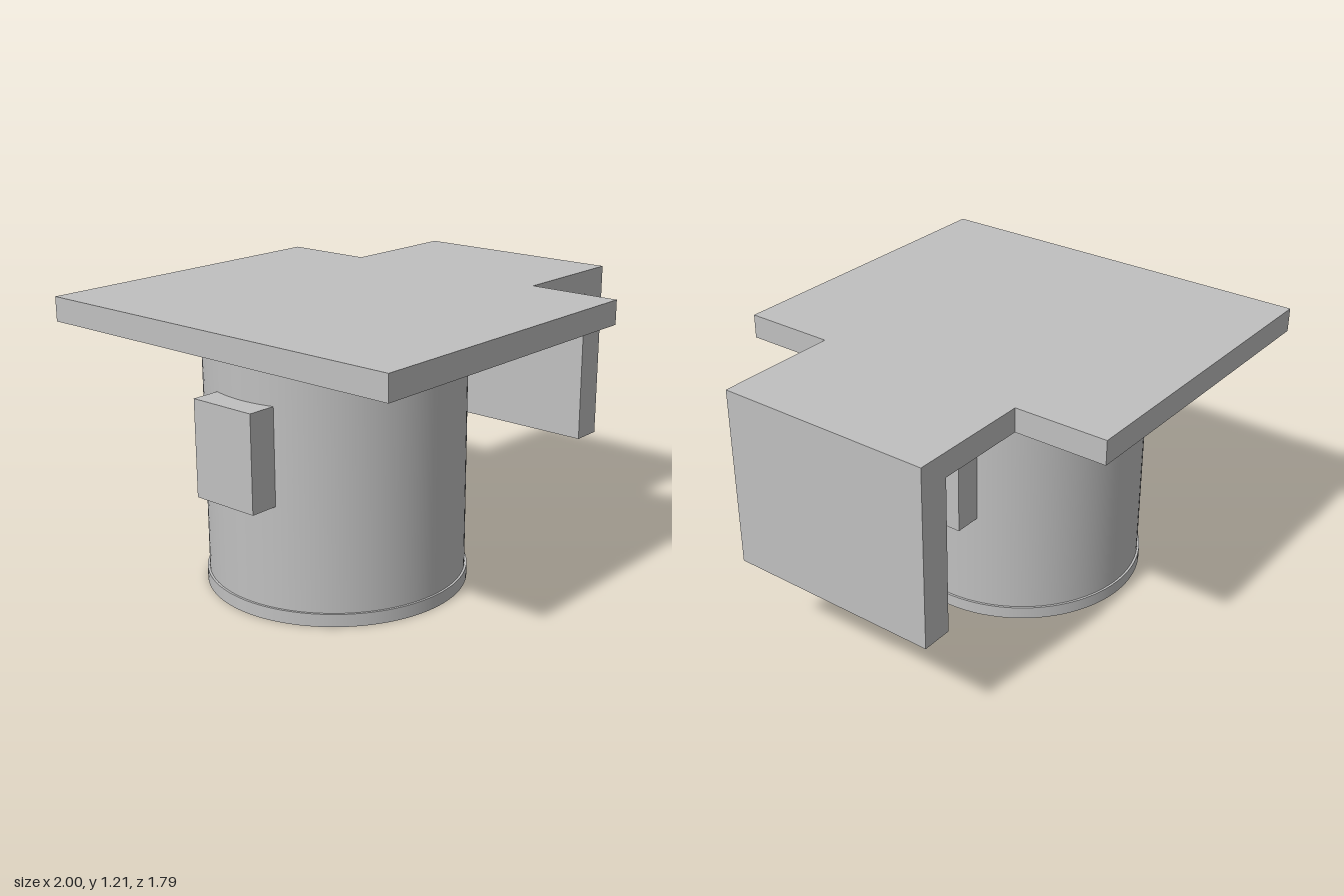
import * as THREE from 'three';

const TUBE_X = -0.275; // axis of the tube
const BORE = 0.4;

export function createModel() {
  const model = new THREE.Group();
  const grey = new THREE.MeshStandardMaterial({ color: 0xc0c0c0 });
  grey.name = 'light grey';

  const add = (name, geometry) => {
    const mesh = new THREE.Mesh(geometry, grey);
    mesh.name = name;
    model.add(mesh);
    return mesh;
  };

  // Box given by its limits on each axis
  const box = (name, [x0, x1], [y0, y1], [z0, z1]) =>
    add(name, new THREE.BoxGeometry(x1 - x0, y1 - y0, z1 - z0))
      .position.set((x0 + x1) / 2, (y0 + y1) / 2, (z0 + z1) / 2);

  // Upright ring with a round bore
  const ring = (name, radius, y0, y1) => {
    const shape = new THREE.Shape().absarc(0, 0, radius, 0, Math.PI * 2);
    shape.holes.push(new THREE.Path().absarc(0, 0, BORE, 0, Math.PI * 2, true));
    const flat = new THREE.ExtrudeGeometry(shape, {
      depth: y1 - y0, bevelEnabled: false, curveSegments: 48,
    });
    flat.rotateX(-Math.PI / 2);
    // Smooth normals on the walls, keeping the flat ends crisp
    const p = flat.attributes.position, n = flat.attributes.normal;
    for (let i = 0; i < p.count; i++) {
      if (Math.abs(n.getY(i)) > 0.5) continue;
      const r = Math.hypot(p.getX(i), p.getZ(i));
      const s = r > (radius + BORE) / 2 ? 1 / r : -1 / r;
      n.setXYZ(i, p.getX(i) * s, 0, p.getZ(i) * s);
    }
    add(name, flat).position.set(TUBE_X, y0, 0);
  };

  // Tube with a slightly wider foot
  ring('tube', 0.55, 0.055, 1.105);
  ring('footRing', 0.56, 0, 0.055);

  // Lugs on both sides, sunk into the tube wall
  for (const [name, side] of [['leftLug', 1], ['rightLug', -1]]) {
    const ends = [TUBE_X + side * 0.48, TUBE_X + side * 0.652].sort((a, b) => a - b);
    box(name, ends, [0.49, 0.9], [-0.155, 0.155]);
  }

  // Top plate with its narrower arm as one outline
  const outline = new THREE.Shape([
    [-1, -0.895], [0.445, -0.895], [0.445, -0.485], [1, -0.485],
    [1, 0.485], [0.445, 0.485], [0.445, 0.895], [-1, 0.895],
  ].map(([x, z]) => new THREE.Vector2(x, z)));
  const plate = new THREE.ExtrudeGeometry(outline, { depth: 0.105, bevelEnabled: false });
  plate.rotateX(-Math.PI / 2);
  add('topPlate', plate).position.y = 1.105;

  // Flange hanging from the end of the arm
  box('hangingFlange', [0.862, 1], [0.417, 1.105], [-0.485, 0.485]);

  return model;
}
